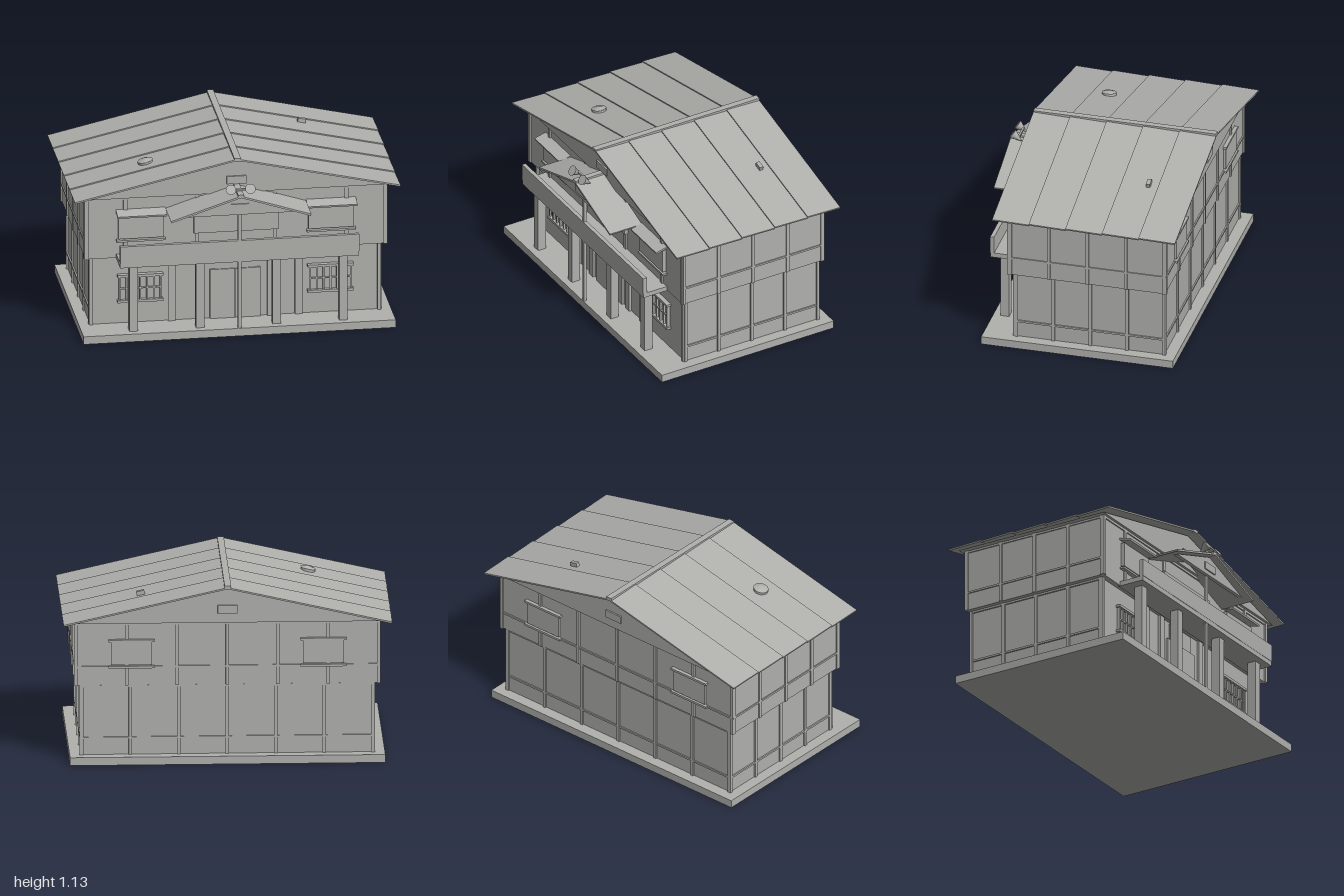
import * as THREE from 'three';

export function createModel() {
  const model = new THREE.Group();
  const grey = new THREE.MeshStandardMaterial({ color: 0xb0b0ad });
  grey.name = 'plain grey';

  function add(name, geometry, x = 0, y = 0, z = 0, parent = model) {
    const mesh = new THREE.Mesh(geometry, grey);
    mesh.name = name;
    mesh.position.set(x, y, z);
    parent.add(mesh);
    return mesh;
  }
  // Box given by its extents
  function box(name, x0, x1, y0, y1, z0, z1) {
    return add(name, new THREE.BoxGeometry(x1 - x0, y1 - y0, z1 - z0),
      (x0 + x1) / 2, (y0 + y1) / 2, (z0 + z1) / 2);
  }
  // Triangular prism centred on x = 0
  function gable(name, halfWidth, y0, y1, z0, z1) {
    const s = new THREE.Shape([[-halfWidth, y0], [halfWidth, y0], [0, y1]]
      .map(p => new THREE.Vector2(...p)));
    return add(name, new THREE.ExtrudeGeometry(s, { depth: z1 - z0, bevelEnabled: false }), 0, 0, z0);
  }
  // Sloping roof slab from the ridge down to one eave; lift tips its front edge up
  function slope(name, side, run, ridgeY, eaveY, z0, z1, thick, lift = 0) {
    const drop = ridgeY - eaveY;
    const slab = add(name, new THREE.BoxGeometry(Math.hypot(run, drop), thick, z1 - z0),
      side * run / 2, (ridgeY + eaveY - thick) / 2, (z0 + z1) / 2);
    slab.rotation.set(-lift, 0, -side * Math.atan2(drop, run), 'ZXY');
    return slab;
  }

  // Main body
  box('base', -0.96, 0.96, 0, 0.05, -0.622, 0.585);
  box('lowerWalls', -0.89, 0.89, 0.05, 0.49, -0.55, 0.385);
  box('upperWalls', -0.925, 0.925, 0.49, 0.886, -0.565, 0.42);
  gable('mainGable', 0.965, 0.885, 1.105, -0.595, 0.445);

  // Main roof: five lapped strips on each slope
  const strips = 5, zBack = -0.645, zFront = 0.505;
  const step = (zFront - zBack) / strips;
  for (const side of [-1, 1]) {
    for (let i = 0; i < strips; i++) {
      const z = zBack + i * step;
      slope('roofStrip', side, 1, 1.122, 0.895, z, z + step, 0.01, 0.03);
    }
  }
  box('ridgeCap', -0.02, 0.02, 1.11, 1.13, zBack, zFront);

  // Timber framing of the side walls
  for (const side of [-1, 1]) {
    const strip = (name, x, y0, y1, z0, z1) =>
      box(name, side * x - 0.008, side * x + 0.008, y0, y1, z0, z1);
    for (let i = 0; i < 5; i++) {
      const zl = 0.38 - i * 0.232, zu = 0.41 - i * 0.242;
      strip('lowerSideStud', 0.892, 0.05, 0.49, zl - 0.01, zl + 0.01);
      strip('upperSideStud', 0.925, 0.49, 0.886, zu - 0.01, zu + 0.01);
    }
    for (const y of [0.155, 0.482]) strip('lowerSideRail', 0.891, y - 0.006, y + 0.006, -0.555, 0.39);
    for (const y of [0.605, 0.876]) strip('upperSideRail', 0.924, y - 0.006, y + 0.006, -0.57, 0.42);
  }

  // Timber framing of the back wall
  for (let i = 0; i <= 6; i++) {
    const xl = -0.885 + i * 0.295, xu = -0.92 + i * 0.3067;
    box('lowerBackStud', xl - 0.01, xl + 0.01, 0.05, 0.49, -0.56, -0.545);
    box('upperBackStud', xu - 0.01, xu + 0.01, 0.49, 0.886, -0.575, -0.56);
  }
  for (const y of [0.155, 0.482]) box('lowerBackRail', -0.89, 0.89, y - 0.006, y + 0.006, -0.558, -0.545);
  for (const y of [0.605, 0.876]) box('upperBackRail', -0.925, 0.925, y - 0.006, y + 0.006, -0.573, -0.56);

  // Timber framing of the front wall
  for (const side of [-1, 1]) {
    for (const [x, w] of [[0.885, 0.02], [0.39, 0.045], [0.22, 0.045]])
      box('lowerFrontStud', side * x - w / 2, side * x + w / 2, 0.05, 0.49, 0.38, 0.4);
    for (const x of [0.92, 0.68, 0.24])
      box('upperFrontStud', side * x - 0.012, side * x + 0.012, 0.49, 0.886, 0.41, 0.43);
  }
  box('frontTopRail', -0.925, 0.925, 0.87, 0.886, 0.415, 0.428);

  // Double door with transom
  for (const side of [-1, 1])
    box('doorLeaf', side * 0.079 - 0.076, side * 0.079 + 0.076, 0.05, 0.37, 0.38, 0.4);
  box('transom', -0.12, 0.12, 0.37, 0.48, 0.38, 0.393);

  for (const side of [-1, 1]) {
    const cx = side * 0.585;
    // Barred lower window
    box('lowerWindowPane', cx - 0.125, cx + 0.125, 0.2, 0.36, 0.38, 0.392);
    for (const y of [0.197, 0.362])
      box('lowerWindowRail', cx - 0.14, cx + 0.14, y - 0.008, y + 0.008, 0.38, 0.415);
    box('lowerWindowMidBar', cx - 0.13, cx + 0.13, 0.275, 0.283, 0.395, 0.405);
    for (let i = 0; i <= 6; i++) {
      const x = cx - 0.126 + i * 0.042;
      box('lowerWindowBar', x - 0.005, x + 0.005, 0.2, 0.36, 0.395, 0.408);
    }
    // Upper front window with a tilted awning
    box('upperWindow', cx - 0.14, cx + 0.14, 0.62, 0.775, 0.41, 0.445);
    box('upperWindowSill', cx - 0.15, cx + 0.15, 0.6, 0.612, 0.41, 0.45);
    const awning = add('awning', new THREE.BoxGeometry(0.305, 0.012, 0.085), cx, 0.79, 0.455);
    awning.rotation.x = 0.25;
    // Upper back window
    box('backWindow', cx - 0.125, cx + 0.125, 0.62, 0.765, -0.58, -0.56);
    for (const y of [0.607, 0.772])
      box('backWindowRail', cx - 0.14, cx + 0.14, y - 0.007, y + 0.007, -0.588, -0.56);
  }
  box('centreWindow', -0.26, 0.26, 0.63, 0.77, 0.41, 0.442);

  // Gable vents
  box('frontVent', -0.06, 0.06, 0.945, 0.995, 0.44, 0.455);
  box('backVent', -0.06, 0.06, 0.945, 0.995, -0.605, -0.59);

  // Balcony on four posts, with a central pole
  box('balconyFloor', -0.735, 0.735, 0.485, 0.515, 0.41, 0.585);
  box('balconyParapet', -0.735, 0.735, 0.515, 0.625, 0.562, 0.587);
  for (const x of [-0.645, -0.235, 0.235, 0.645])
    box('porchPost', x - 0.026, x + 0.026, 0.05, 0.485, 0.485, 0.54);
  box('centrePole', -0.01, 0.01, 0.05, 0.92, 0.566, 0.583);

  // Small gabled roof over the balcony
  for (const side of [-1, 1]) slope('porchRoof', side, 0.43, 0.938, 0.797, 0.42, 0.645, 0.012);
  box('porchRidgeCap', -0.018, 0.018, 0.925, 0.945, 0.42, 0.645);
  gable('porchGable', 0.37, 0.8, 0.922, 0.575, 0.6);
  box('porchVent', -0.056, 0.056, 0.825, 0.872, 0.595, 0.608);

  // Pair of cone lamps on the small ridge
  const out = new THREE.Vector3(0, 0.6, 0.8);
  for (const side of [-1, 1]) {
    const lamp = add('lamp', new THREE.ConeGeometry(0.032, 0.075, 20), side * 0.06, 0.953, 0.595);
    lamp.quaternion.setFromUnitVectors(new THREE.Vector3(0, 1, 0), out.clone().negate());
  }
  box('lampBar', -0.06, 0.06, 0.952, 0.964, 0.58, 0.592);

  // Roof fittings
  const cap = add('roundVent', new THREE.CylinderGeometry(0.012, 0.045, 0.012, 24), -0.52, 1.024, 0.17);
  const collar = add('roundVentCollar', new THREE.CylinderGeometry(0.045, 0.045, 0.025, 24), -0.52, 1.007, 0.17);
  cap.rotation.z = collar.rotation.z = 0.225;
  const hatch = add('roofBox', new THREE.BoxGeometry(0.05, 0.03, 0.025), 0.52, 1.013, -0.355);
  hatch.rotation.z = -0.225;

  return model;
}
